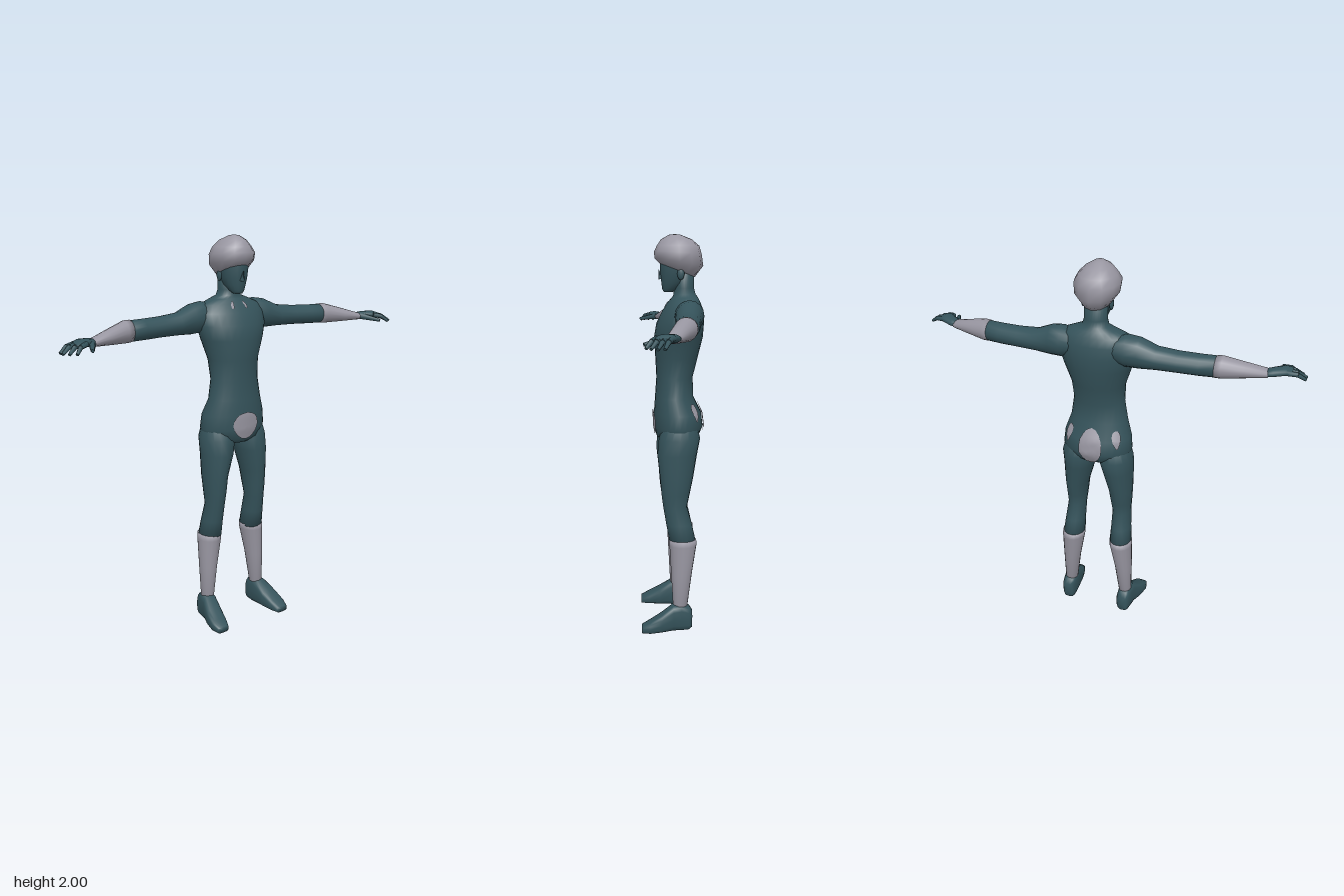
import * as THREE from 'three';

const suit = new THREE.MeshStandardMaterial({ color: 0x35535b });
suit.name = 'dark teal';
const grey = new THREE.MeshStandardMaterial({ color: 0x9896a1 });
grey.name = 'warm grey';

// Point on a ring [x, y, z, a, b, slope]; pow < 1 squares the ellipse
function ringPoint([x, y, z, a, b, slope = 0], t, axis, pow = 1) {
  const p = (v) => Math.sign(v) * Math.abs(v) ** pow;
  const s = p(Math.sin(t)), c = p(Math.cos(t));
  if (axis === 'y') return [x + a * s, y + slope * b * c, z + b * c];
  if (axis === 'x') return [x, y + a * c, z + b * s];
  return [x - a * s, y + b * c, z];
}

// Closed skin through rings that follow one another along an axis
function loft(rings, axis = 'y', seg = 16, pow = 1) {
  const pos = [], idx = [], n = rings.length;
  for (const r of rings)
    for (let j = 0; j < seg; j++) pos.push(...ringPoint(r, (j / seg) * Math.PI * 2, axis, pow));
  for (let i = 0; i < n - 1; i++)
    for (let j = 0; j < seg; j++) {
      const a = i * seg + j, b = i * seg + ((j + 1) % seg);
      idx.push(a, b, b + seg, a, b + seg, a + seg);
    }
  pos.push(...rings[0].slice(0, 3), ...rings[n - 1].slice(0, 3));
  for (let j = 0; j < seg; j++) {
    const k = (j + 1) % seg, e = (n - 1) * seg;
    idx.push(n * seg, k, j, n * seg + 1, e + j, e + k);
  }
  const g = new THREE.BufferGeometry();
  g.setAttribute('position', new THREE.Float32BufferAttribute(pos, 3));
  g.setIndex(idx);
  g.computeVertexNormals();
  return g;
}

// Tapered finger segment between two points
function segment(p, q, r0, r1) {
  const a = new THREE.Vector3(...p), b = new THREE.Vector3(...q), d = b.clone().sub(a);
  const g = new THREE.CylinderGeometry(r1, r0, d.length(), 7);
  g.applyQuaternion(new THREE.Quaternion().setFromUnitVectors(new THREE.Vector3(0, 1, 0), d.normalize()));
  return g.translate(...a.add(b).multiplyScalar(0.5).toArray());
}

function mirrored(geo) {
  const g = geo.clone().scale(-1, 1, 1), ix = g.index;
  for (let i = 0; i < ix.count; i += 3) {
    const t = ix.getX(i);
    ix.setX(i, ix.getX(i + 1));
    ix.setX(i + 1, t);
  }
  g.computeVertexNormals();
  return g;
}

// Torso ring from height, half width, front z and back z
const T = (y, w, f, b) => [0, y, (f + b) / 2, w, (f - b) / 2];
const torsoRings = [
  T(0.975, 0.09, 0.055, -0.1), T(1.0, 0.16, 0.08, -0.135), T(1.05, 0.179, 0.09, -0.157),
  T(1.12, 0.172, 0.092, -0.148), T(1.2, 0.146, 0.086, -0.108), T(1.3, 0.13, 0.079, -0.105),
  T(1.4, 0.136, 0.084, -0.13), T(1.5, 0.17, 0.09, -0.155), T(1.57, 0.192, 0.078, -0.16),
  T(1.63, 0.19, 0.048, -0.158), T(1.67, 0.165, 0.022, -0.142), T(1.695, 0.105, 0.0, -0.13),
  T(1.71, 0.065, -0.008, -0.118), T(1.74, 0.056, -0.01, -0.11), T(1.82, 0.056, -0.012, -0.108),
];

// Thin panel hugging the torso, centred on an angle and a height
function torsoPatch(angle, y0, halfAngle, halfHeight, shape = () => 1) {
  const g = new THREE.RingGeometry(0.001, 1, 16, 5), p = g.attributes.position;
  for (let i = 0; i < p.count; i++) {
    const v = p.getY(i), y = y0 + v * halfHeight;
    const t = angle + p.getX(i) * halfAngle * shape(v);
    let k = 0;
    while (k < torsoRings.length - 2 && torsoRings[k + 1][1] < y) k++;
    const A = torsoRings[k], B = torsoRings[k + 1], f = (y - A[1]) / (B[1] - A[1]);
    const r = A.map((n, m) => n + (B[m] - n) * f);
    r[3] += 0.007;
    r[4] += 0.007;
    p.setXYZ(i, ...ringPoint(r, t, 'y'));
  }
  g.computeVertexNormals();
  return g;
}

export function createModel() {
  const model = new THREE.Group();
  model.name = 'figure';
  const add = (name, geo, mat) => {
    const m = new THREE.Mesh(geo, mat);
    m.name = name;
    model.add(m);
  };
  const pair = (name, geo, mat) => {
    add('left ' + name, geo, mat);
    add('right ' + name, mirrored(geo), mat);
  };

  // Torso, neck and panels
  add('torso', loft(torsoRings, 'y', 28), suit);
  add('front panel', torsoPatch(0, 1.07, 0.44, 0.07, (v) => 0.95 + 0.15 * v), grey);
  add('back panel', torsoPatch(Math.PI, 1.09, 0.34, 0.095), grey);
  pair('hip panel', torsoPatch(Math.PI - 0.8, 1.13, 0.17, 0.045, (v) => 0.85 + 0.4 * v), grey);
  pair('collar mark', torsoPatch(0.22, 1.668, 0.05, 0.018), grey);

  // Head
  add('head', loft([
    [0, 1.722, 0.018, 0.022, 0.022], [0, 1.735, 0.01, 0.035, 0.038], [0, 1.765, -0.01, 0.052, 0.062],
    [0, 1.8, -0.02, 0.064, 0.077], [0, 1.85, -0.025, 0.074, 0.085], [0, 1.9, -0.03, 0.074, 0.085],
  ]), suit);
  const nose = new THREE.ConeGeometry(0.014, 0.05, 5);
  nose.rotateX(0.3).translate(0, 1.81, 0.06);
  add('nose', nose, suit);
  pair('ear', new THREE.SphereGeometry(1, 8, 6).scale(0.01, 0.03, 0.018).translate(0.069, 1.81, -0.04), suit);

  // Cap, dipping towards the back
  add('cap', loft([
    [0, 1.828, -0.025, 0.074, 0.088, 0.38], [0, 1.868, -0.034, 0.106, 0.121, 0.16],
    [0, 1.912, -0.03, 0.112, 0.117, 0.06], [0, 1.945, -0.03, 0.092, 0.105, 0],
    [0, 1.976, -0.022, 0.062, 0.076, 0], [0, 1.997, -0.014, 0.025, 0.03, 0], [0, 2.0, -0.014, 0.008, 0.008],
  ], 'y', 12), grey);

  // Arms
  pair('upper arm', loft([
    [0.08, 1.615, -0.08, 0.055, 0.055], [0.16, 1.61, -0.077, 0.077, 0.072], [0.22, 1.604, -0.07, 0.074, 0.067],
    [0.3, 1.588, -0.062, 0.055, 0.06], [0.4, 1.583, -0.055, 0.05, 0.058], [0.5, 1.58, -0.045, 0.05, 0.055],
    [0.6, 1.579, -0.032, 0.05, 0.05],
  ], 'x'), suit);
  pair('forearm', loft([
    [0.57, 1.58, -0.036, 0.052, 0.052], [0.6, 1.579, -0.031, 0.053, 0.052],
    [0.7, 1.567, 0.0, 0.036, 0.044], [0.8, 1.555, 0.031, 0.018, 0.034],
  ], 'x'), grey);

  // Hands
  pair('palm', loft([
    [0.78, 1.556, 0.027, 0.016, 0.03], [0.82, 1.56, 0.04, 0.02, 0.038],
    [0.87, 1.565, 0.064, 0.018, 0.045], [0.9, 1.56, 0.076, 0.011, 0.038],
  ], 'x', 12), suit);
  const tips = [[0.963, 0.072], [0.964, 0.1], [0.945, 0.126], [0.918, 0.145]];
  tips.forEach(([x, z], i) => {
    const root = [0.875 - i * 0.008, 1.564, 0.04 + i * 0.02];
    const joint = [(root[0] + x) / 2 + 0.006, 1.556, (root[2] + z) / 2];
    pair('finger ' + (i + 1), segment(root, joint, 0.013, 0.011), suit);
    pair('fingertip ' + (i + 1), segment(joint, [x, 1.53, z], 0.011, 0.007), suit);
  });
  pair('thumb', segment([0.805, 1.556, 0.055], [0.85, 1.54, 0.152], 0.017, 0.008), suit);

  // Legs
  pair('thigh', loft([
    [0.133, 0.47, -0.048, 0.058, 0.067], [0.13, 0.56, -0.03, 0.052, 0.065], [0.126, 0.65, -0.01, 0.048, 0.06],
    [0.123, 0.72, -0.013, 0.055, 0.072], [0.12, 0.8, -0.018, 0.062, 0.083], [0.104, 0.92, -0.022, 0.08, 0.1],
    [0.095, 1.0, -0.034, 0.09, 0.104], [0.09, 1.1, -0.035, 0.07, 0.075],
  ]), suit);
  pair('shin', loft([
    [0.16, 0.13, -0.035, 0.034, 0.037], [0.15, 0.3, -0.042, 0.046, 0.053],
    [0.136, 0.45, -0.05, 0.06, 0.069], [0.134, 0.48, -0.049, 0.06, 0.069],
  ]), grey);

  // Feet
  pair('foot', loft([
    [0.162, 0.06, -0.096, 0.025, 0.045], [0.162, 0.066, -0.08, 0.036, 0.064], [0.164, 0.073, -0.04, 0.041, 0.073],
    [0.168, 0.071, 0.0, 0.043, 0.069], [0.182, 0.049, 0.06, 0.049, 0.048], [0.192, 0.031, 0.12, 0.047, 0.03],
    [0.194, 0.021, 0.163, 0.034, 0.017],
  ], 'z', 16, 0.65), suit);

  return model;
}
